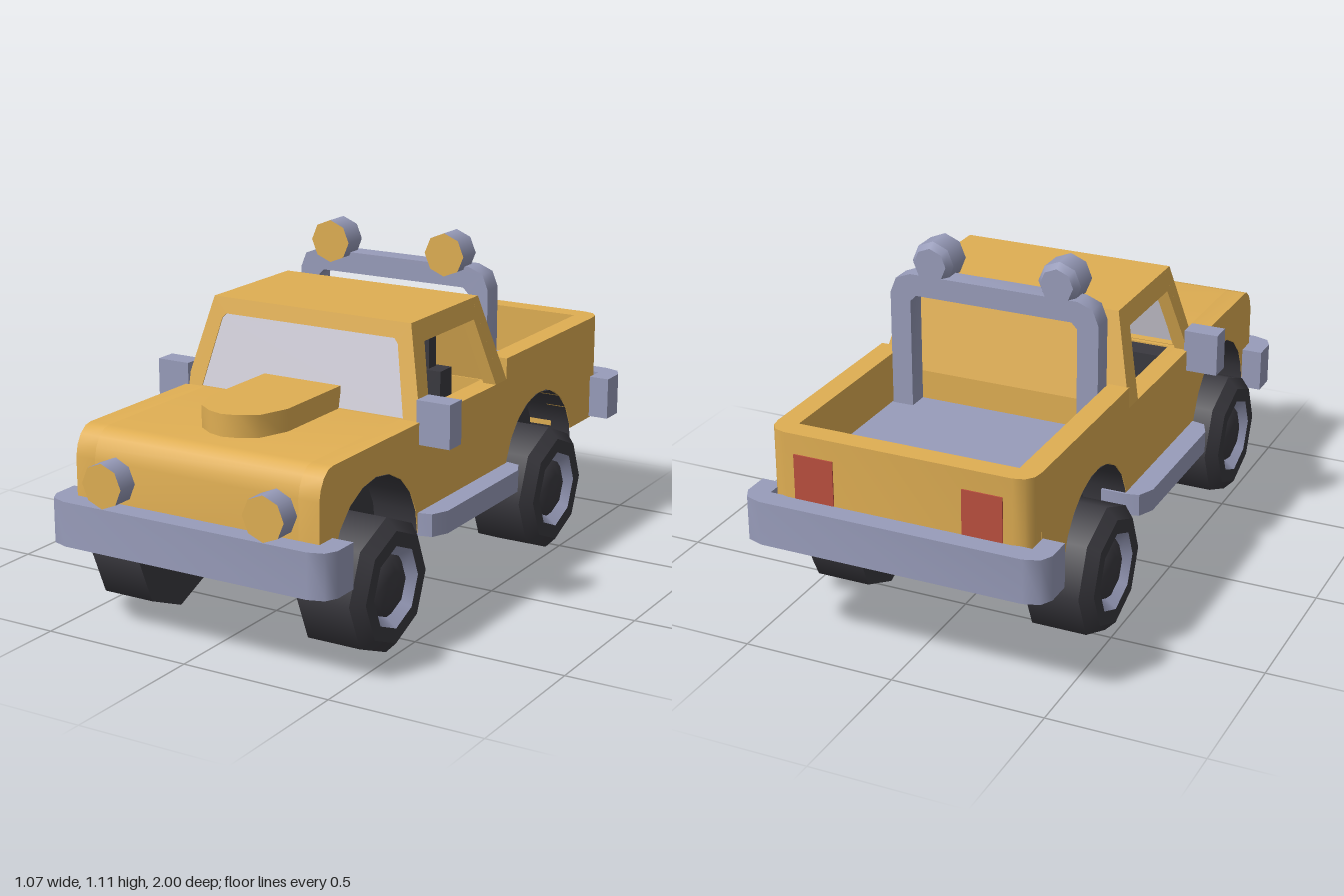
import * as THREE from 'three';
import { toCreasedNormals } from 'three/addons/utils/BufferGeometryUtils.js';

const material = (name, color, extra = {}) => new THREE.MeshStandardMaterial({ name, color, ...extra });

export function createModel() {
  const paint = material('yellow paint', 0xdfae53);
  const metal = material('blue grey metal', 0x989cba);
  const dark = material('dark rubber', 0x3a393f, { side: THREE.DoubleSide });
  const glass = material('pale glass', 0xd0cdd8, { side: THREE.DoubleSide });
  const red = material('red lamp', 0xbb4f3e);
  const car = new THREE.Group();
  car.name = 'pickupTruck';

  const add = (name, geometry, mat, parent = car) => {
    const mesh = new THREE.Mesh(geometry, mat);
    mesh.name = name;
    parent.add(mesh);
    return mesh;
  };
  // Box given by its limits on each axis
  const box = (name, mat, x0, x1, y0, y1, z0, z1) => add(name,
    new THREE.BoxGeometry(x1 - x0, y1 - y0, z1 - z0).translate((x0 + x1) / 2, (y0 + y1) / 2, (z0 + z1) / 2), mat);
  const extrude = (pts, depth, holes = []) => {
    const shape = new THREE.Shape(pts.map(p => new THREE.Vector2(...p)));
    holes.forEach(h => shape.holes.push(new THREE.Path(h.map(p => new THREE.Vector2(...p)))));
    return new THREE.ExtrudeGeometry(shape, { depth, bevelEnabled: false });
  };
  const crease = g => toCreasedNormals(g, 0.85);
  // Profile (z, y) swept across x
  const sideExtrude = (pts, x0, x1) => extrude(pts, x1 - x0).rotateY(-Math.PI / 2).translate(x1, 0, 0);
  // Plan (x, z) swept up in y
  const planExtrude = (pts, y0, y1) => crease(extrude(pts, y1 - y0).rotateX(Math.PI / 2).translate(0, y1, 0));
  const mirrored = pts => [...pts, ...[...pts].reverse().map(([x, y]) => [-x, y])];
  // Move vertices by a rule
  const warp = (g, rule) => {
    const p = g.attributes.position;
    for (let i = 0; i < p.count; i++) p.setXYZ(i, ...rule(p.getX(i), p.getY(i), p.getZ(i)));
    g.computeVertexNormals();
    return g;
  };
  // Eight-sided turned part, crisp between the profile's bands
  const turned = (name, profile, mat, parent) => {
    for (let i = 0; i < profile.length - 1; i++) {
      const pts = [profile[i], profile[i + 1]].map(p => new THREE.Vector2(...p));
      add(name, new THREE.LatheGeometry(pts, 8), mat, parent);
    }
  };

  // Body profile with wheel arches
  const FRONT = 0.615, REAR = -0.465, BASE = 0.295, SILL = 0.645, ROOF = 0.93;
  const arch = (z, end = Math.PI) => Array.from({ length: 11 }, (_, i) => {
    const a = end * i / 10;
    return [z + 0.25 * Math.cos(a), BASE + 0.25 * Math.sin(a)];
  });
  const nose = [[0.855, SILL], [0.88, 0.64], [0.905, 0.62], [0.922, 0.59], [0.93, 0.555], [0.93, BASE]];
  const sideProfile = [...nose, ...arch(FRONT), ...arch(REAR, Math.PI - 0.243),
    [-0.866, 0.355], [-0.866, 0.715], [-0.215, 0.715], [-0.215, SILL]];
  for (const x0 of [-0.43, 0.36]) add('bodySide', crease(sideExtrude(sideProfile, x0, x0 + 0.07)), paint);
  add('hood', crease(sideExtrude([...nose, ...arch(FRONT), [0.3, BASE], [0.3, SILL]], -0.36, 0.36)), paint);
  add('tailgate', planExtrude(mirrored([[0.43, -0.865], [0.425, -0.9], [0.405, -0.925], [0.37, -0.935]]), 0.355, 0.715), paint);
  box('rearUnderside', paint, -0.36, 0.36, 0.355, 0.54, -0.87, -0.7);
  box('bulkhead', paint, -0.36, 0.36, BASE, SILL, -0.215, -0.17);
  box('bedFloor', metal, -0.36, 0.36, 0.535, 0.55, -0.867, -0.214);
  add('hoodScoop', planExtrude(mirrored([[0.14, 0.34], [0.14, 0.64], [0.105, 0.735], [0.05, 0.772], [0.0001, 0.785]]), 0.63, 0.715), paint);

  // Chassis and wheel wells
  box('chassis', dark, -0.28, 0.28, 0.288, 0.4, -0.715, 0.92);
  box('cabinFloor', dark, -0.36, 0.36, 0.29, 0.4, -0.214, 0.364);
  for (const z of [FRONT, REAR]) {
    box('innerWheelWell', dark, -0.28, 0.28, 0.3, 0.534, z - 0.249, z + 0.249);
    for (const x of [-0.3545, 0.3545]) {
      const liner = new THREE.CylinderGeometry(0.248, 0.248, 0.149, 10, 1, true, Math.PI, Math.PI);
      add('archLiner', liner.rotateZ(-Math.PI / 2).translate(x, BASE, z), dark);
    }
  }

  // Cabin panels lean inwards above the sill
  const inX = y => (y - SILL) * 0.246;
  const frontZ = y => 0.355 - (y - SILL) * 0.228;
  const backZ = y => -0.215 + (y - SILL) * 0.263;
  const doorFrame = [[0.355, SILL], [0.29, ROOF], [-0.14, ROOF], [-0.215, SILL],
    [-0.14, SILL], [-0.085, 0.865], [0.235, 0.865], [0.295, SILL]];
  for (const s of [1, -1]) {
    const g = sideExtrude(doorFrame, s > 0 ? 0.385 : -0.43, s > 0 ? 0.43 : -0.385);
    add('doorFrame', warp(g, (x, y, z) => [x - s * inX(y), y, z]), paint);
  }
  const pane = mirrored([[0.37, SILL + 0.002], [0.322, 0.865], [0.308, 0.88]]);
  const panel = mirrored([[0.43, SILL], [0.36, ROOF]]);
  add('windshieldFrame', warp(extrude(panel, 0.04, [pane]), (x, y, z) => [x, y, z - 0.04 + frontZ(y)]), paint);
  add('windshield', warp(extrude(pane, 0.005), (x, y, z) => [x, y, z - 0.008 + frontZ(y)]), glass);
  add('cabinBack', warp(extrude(panel, 0.04), (x, y, z) => [x, y, z + backZ(y)]), paint);
  box('roof', paint, -0.36, 0.36, 0.89, ROOF, -0.14, 0.29);

  // Interior
  box('dashboard', dark, -0.36, 0.36, 0.5, 0.64, 0.22, 0.301);
  for (const x of [-0.18, 0.18]) {
    box('seatCushion', dark, x - 0.11, x + 0.11, 0.4, 0.52, -0.1, 0.13);
    box('seatBack', dark, x - 0.11, x + 0.11, 0.45, 0.695, -0.1, -0.025);
    box('headrest', dark, x - 0.06, x + 0.06, 0.69, 0.8, -0.085, -0.04);
  }
  const steering = add('steeringWheel', new THREE.TorusGeometry(0.07, 0.009, 6, 12), dark);
  steering.position.set(0.18, 0.61, 0.175);
  steering.rotation.x = 0.5;

  // Bumpers, side steps and mirrors
  const bumper = s => mirrored([[0.43, 0.93], [0.43, 0.86], [0.5, 0.86], [0.5, 0.945], [0.48, 0.983], [0.43, 1]]
    .map(([x, z]) => [x, z * s]));
  // Outline runs inner edge to outer edge, so the mirrored half closes the loop
  add('frontBumper', planExtrude(bumper(1), 0.288, 0.43), metal);
  add('rearBumper', planExtrude(bumper(-1), 0.36, 0.503), metal);
  for (const s of [1, -1]) {
    const step = [[0.35, 0.365], [0.43, 0.365], [0.475, 0.355], [0.5, 0.3], [0.5, -0.17], [0.475, -0.225], [0.43, -0.235], [0.35, -0.235]];
    add('sideStep', planExtrude(step.map(([x, z]) => [x * s, z]), 0.287, 0.36), metal);
    const mirrorX = [0.42 * s, 0.535 * s].sort((a, b) => a - b);
    box('sideMirror', metal, ...mirrorX, 0.575, 0.715, 0.287, 0.36);
    const lampX = [0.21 * s, 0.34 * s].sort((a, b) => a - b);
    box('tailLight', red, ...lampX, 0.505, 0.65, -0.939, -0.932);
  }

  // Roll bar
  const barOutline = mirrored([[0.285, 0.55], [0.355, 0.55], [0.355, 0.93], [0.335, 0.98], [0.285, 1]]);
  const barHole = mirrored([[0.285, 0.551], [0.285, 0.91], [0.265, 0.93]]);
  const half = barOutline.slice(1, 9);
  add('rollBar', crease(extrude([...half, ...[...barHole].reverse()], 0.07)).translate(0, 0, -0.287), metal);

  // Lamps facing forwards
  const lamp = (name, x, y, z, profile) => {
    const g = new THREE.Group();
    g.name = name;
    g.position.set(x, y, z);
    g.rotation.x = Math.PI / 2;
    car.add(g);
    turned(name + 'Housing', profile, metal, g);
    const rim = profile[profile.length - 1];
    turned(name + 'Lens', [rim, [0, rim[1]]], paint, g);
  };
  for (const s of [1, -1]) {
    lamp('headlight', 0.285 * s, 0.502, 0.92, [[0.071, 0], [0.071, 0.08]]);
    lamp('spotlight', 0.215 * s, 1.039, -0.287, [[0, 0], [0.055, 0], [0.071, 0.025], [0.071, 0.11]]);
  }

  // Wheels
  for (const z of [FRONT, REAR]) for (const s of [1, -1]) {
    const wheel = new THREE.Group();
    wheel.name = 'wheel';
    wheel.position.set(0, 0.213, z);
    wheel.rotation.z = -s * Math.PI / 2;
    car.add(wheel);
    turned('tyre', [[0, 0.285], [0.213, 0.285], [0.213, 0.465], [0.177, 0.5], [0.13, 0.5]], dark, wheel);
    turned('rim', [[0.13, 0.5], [0.1, 0.465]], metal, wheel);
    add('hub', new THREE.LatheGeometry([[0.102, 0.465], [0.085, 0.483], [0.05, 0.495], [0, 0.5]]
      .map(p => new THREE.Vector2(...p)), 8), dark, wheel);
  }
  return car;
}
